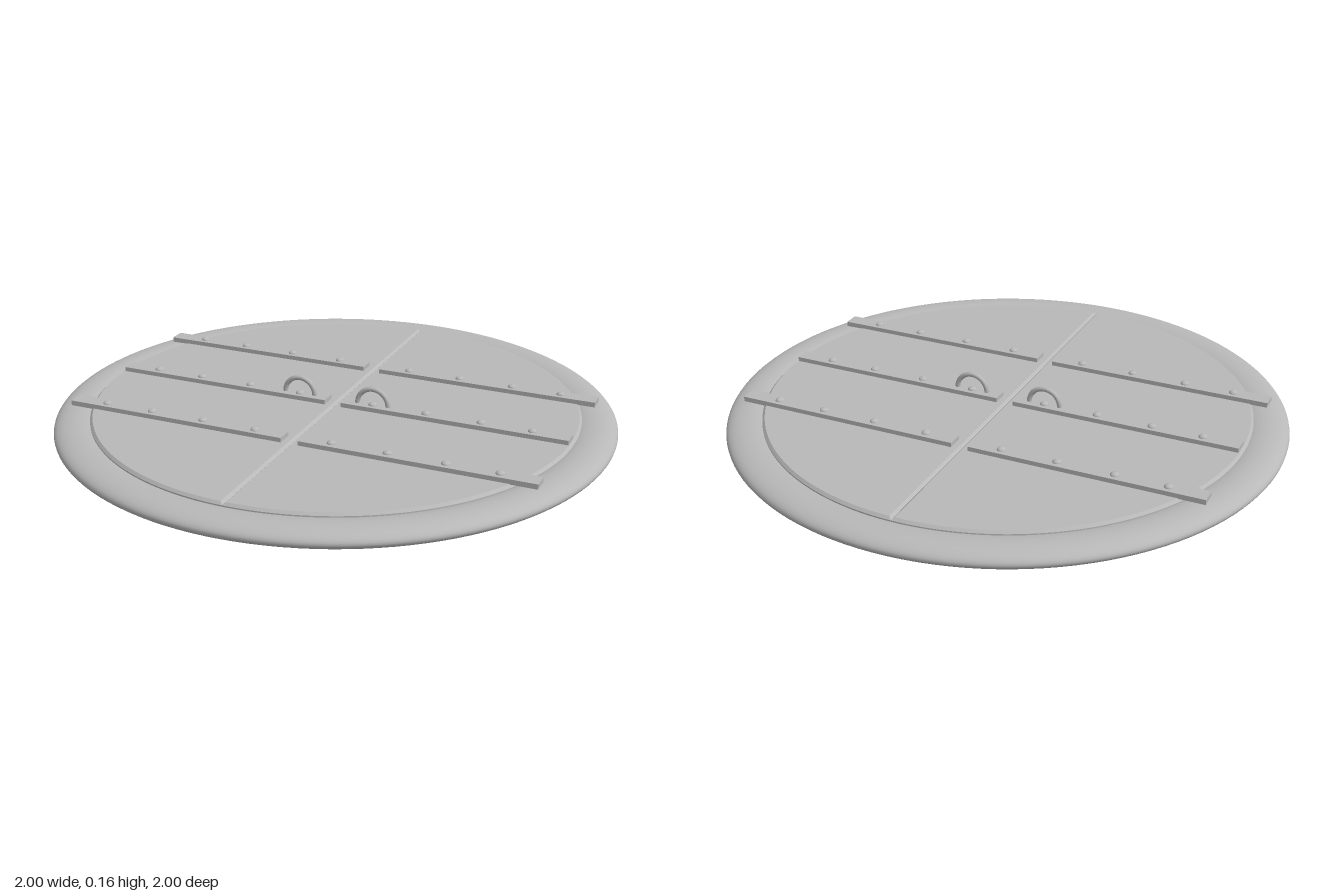
import * as THREE from 'three';
import { toCreasedNormals } from 'three/addons/utils/BufferGeometryUtils.js';

export function createModel() {
  const model = new THREE.Group();
  model.name = 'roundHatch';
  const grey = new THREE.MeshStandardMaterial({ color: 0xb8b8b8 });
  grey.name = 'plain grey';

  const add = (name, geometry, parent, x = 0, y = 0, z = 0) => {
    const mesh = new THREE.Mesh(geometry, grey);
    mesh.name = name;
    mesh.position.set(x, y, z);
    parent.add(mesh);
    return mesh;
  };

  // Rounded, flattened outer ring; its profile starts on the hidden inner side
  const profile = [];
  for (let i = 0; i <= 32; i++) {
    const a = -Math.PI + (i / 32) * Math.PI * 2;
    profile.push(new THREE.Vector2(0.92 + 0.08 * Math.cos(a), 0.034 + 0.034 * Math.sin(a)));
  }
  add('outerRing', new THREE.LatheGeometry(profile, 128), model);

  // Half-disc door leaf with bevelled edges, lying flat
  const bevel = 0.009;
  const half = new THREE.Shape();
  half.absarc(0, 0, 0.873, -Math.PI / 2, Math.PI / 2, false);
  const leafGeometry = toCreasedNormals(
    new THREE.ExtrudeGeometry(half, {
      depth: 0.07 - 2 * bevel,
      bevelEnabled: true,
      bevelThickness: bevel,
      bevelSize: bevel,
      bevelOffset: -bevel,
      bevelSegments: 1,
      curveSegments: 72,
    }).rotateX(-Math.PI / 2),
    0.5
  );

  // Shared hardware
  const strapGeometry = new THREE.BoxGeometry(0.83, 0.018, 0.06);
  const rivetGeometry = new THREE.SphereGeometry(0.016, 16, 6, 0, Math.PI * 2, 0, Math.PI / 2)
    .scale(1, 0.65, 1);
  const handleGeometry = new THREE.TorusGeometry(0.058, 0.009, 12, 32, Math.PI);

  // Each leaf carries three riveted straps and one pull handle
  for (const side of [1, -1]) {
    const door = new THREE.Group();
    door.name = side > 0 ? 'leftDoor' : 'rightDoor';
    model.add(door);

    const leaf = add('doorLeaf', leafGeometry, door, 0, 0.005 + bevel, 0);
    leaf.rotation.y = side > 0 ? 0 : Math.PI;

    for (const z of [-0.364, 0, 0.364]) {
      add('strap', strapGeometry, door, side * 0.446, 0.082, z);
      for (const x of [0.142, 0.343, 0.545, 0.728]) {
        add('rivet', rivetGeometry, door, side * x, 0.0905, z);
      }
    }
    add('pullHandle', handleGeometry, door, side * 0.142, 0.092, 0);
  }

  return model;
}
